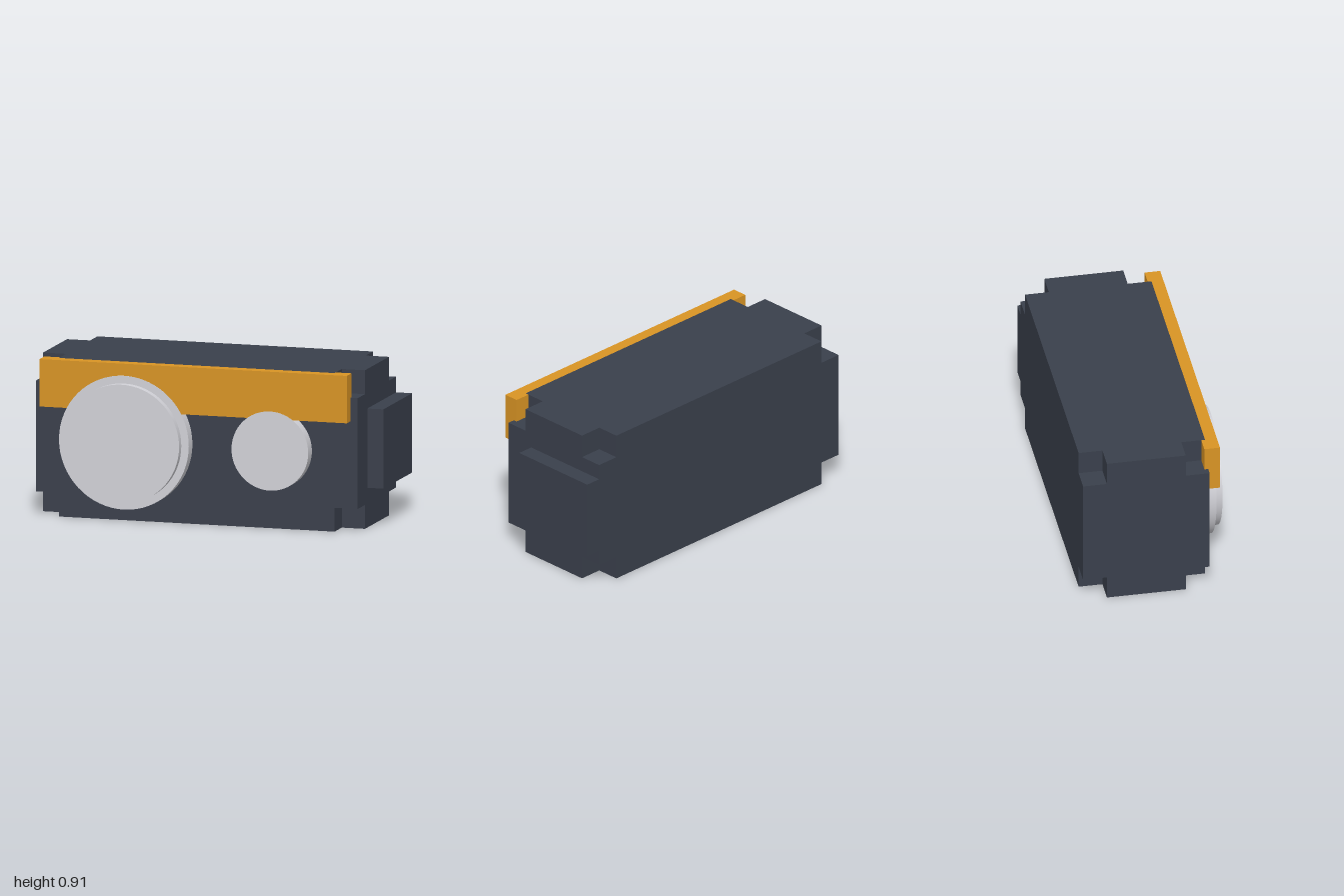
import * as THREE from 'three';

const material = (name, color) => {
  const m = new THREE.MeshStandardMaterial({ color });
  m.name = name;
  return m;
};

export function createModel() {
  const model = new THREE.Group();
  model.name = 'camera';
  const dark = material('dark slate', 0x3a404c);
  const orange = material('orange', 0xd99424);
  const silver = material('silver', 0xd2d2d8);

  const add = (name, geometry, mat) => {
    const mesh = new THREE.Mesh(geometry, mat);
    mesh.name = name;
    model.add(mesh);
    return mesh;
  };
  const box = (name, mat, [x0, x1], [y0, y1], [z0, z1]) =>
    add(name, new THREE.BoxGeometry(x1 - x0, y1 - y0, z1 - z0), mat)
      .position.set((x0 + x1) / 2, (y0 + y1) / 2, (z0 + z1) / 2);
  const disc = (name, x, y, radius, z0, z1) =>
    add(name, new THREE.CylinderGeometry(radius, radius, z1 - z0, 64).rotateX(Math.PI / 2), silver)
      .position.set(x, y, (z0 + z1) / 2);

  // Body: a block with a small cube cut from each of its eight corners
  const left = -1, right = 0.905, top = 0.91, back = -0.42, front = 0.307, cut = 0.137;
  box('body', dark, [left + cut, right - cut], [0, top], [back, front]);

  // Cross-shaped ends, drawn in z and y and extruded along x
  const cross = new THREE.Shape([
    [back + cut, 0], [front - cut, 0], [front - cut, cut], [front, cut],
    [front, top - cut], [front - cut, top - cut], [front - cut, top], [back + cut, top],
    [back + cut, top - cut], [back, top - cut], [back, cut], [back + cut, cut],
  ].map(([z, y]) => new THREE.Vector2(-z, y)));
  for (const [name, x] of [['rightEnd', left], ['leftEnd', right - cut]]) {
    const end = new THREE.ExtrudeGeometry(cross, { depth: cut, bevelEnabled: false });
    add(name, end.rotateY(Math.PI / 2), dark).position.x = x;
  }

  // Grip block on the left side
  box('sideGrip', dark, [right, 1], [0.228, 0.683], [back, 0.125]);

  // Front band, with tabs reaching back into the upper corner cuts
  box('frontBand', orange, [-0.957, 0.862], [0.638, top], [front, 0.375]);
  box('rightBandTab', orange, [-0.957, left + cut], [top - cut, top], [0.285, front]);
  box('leftBandTab', orange, [right - cut, 0.862], [top - cut, top], [0.285, front]);

  // Main lens in two steps, and the small lens
  disc('mainLensRing', -0.457, 0.457, 0.384, front, 0.377);
  disc('mainLensFace', -0.457, 0.457, 0.34, 0.377, 0.42);
  disc('smallLens', 0.407, 0.455, 0.227, front, 0.377);

  return model;
}
